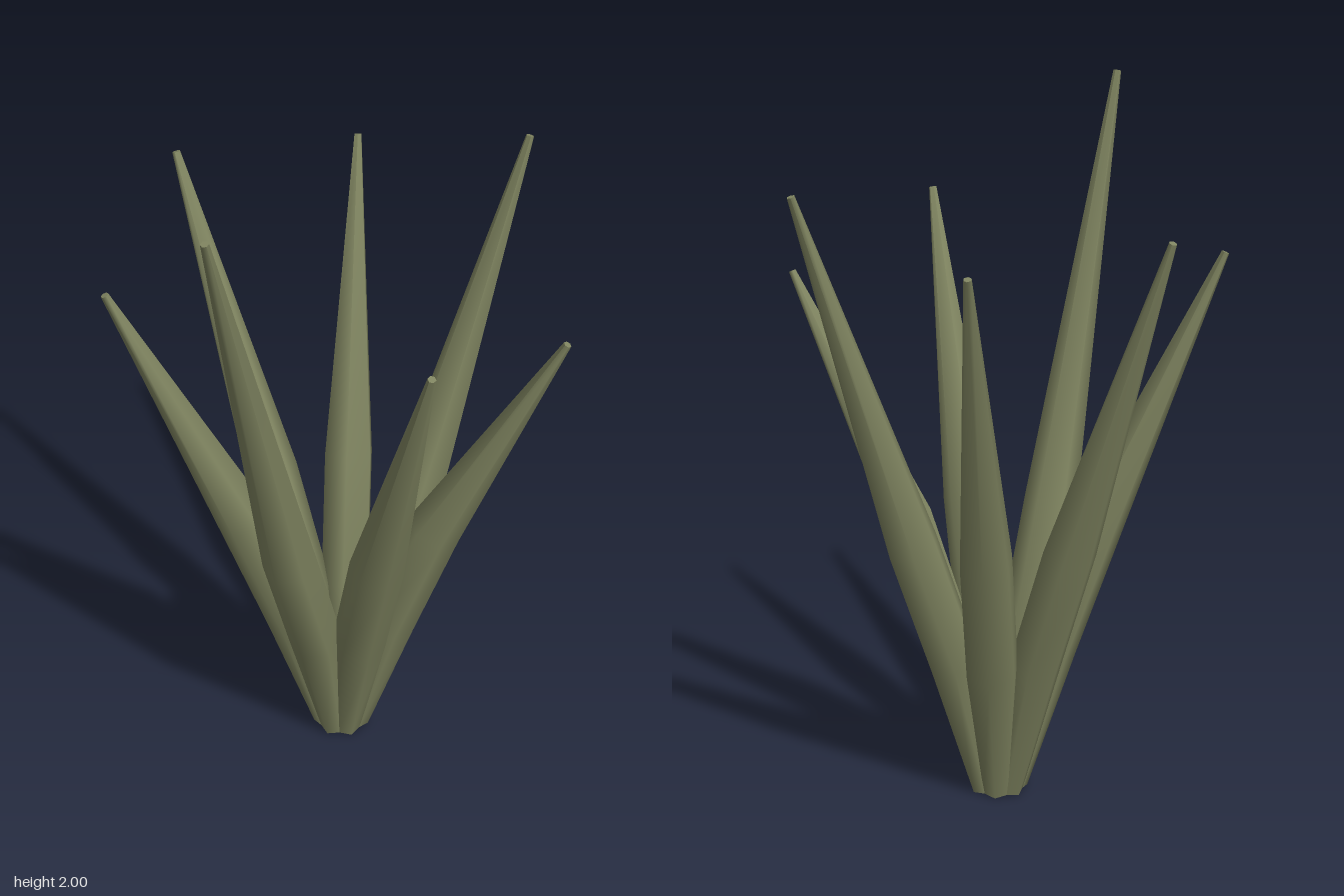
import * as THREE from 'three';
import { mergeVertices, toCreasedNormals } from 'three/addons/utils/BufferGeometryUtils.js';

const SIDES = 6;

// One leaf leaning towards +x: a six-sided spike swept along a bending axis.
function leafGeometry(height) {
  // each ring: distance from the plant's axis, height, radius
  const rings = [
    [0.045, 0.01, 0.04],
    [0.145, 0.43, 0.077],
    [0.275, 0.8, 0.076],
    [0.614, height - 0.006, 0.011],
  ];
  const last = rings.length - 1;
  const geo = new THREE.CylinderGeometry(1, 1, 1, SIDES, last, false, -Math.PI / 2);
  const pos = geo.attributes.position;
  for (let i = 0; i < pos.count; i++) {
    const k = last - Math.round((0.5 - pos.getY(i)) * last);
    const [out, up, radius] = rings[k];
    // lean of the axis at this ring
    const a = rings[Math.max(k - 1, 0)];
    const b = rings[Math.min(k + 1, last)];
    const lean = Math.atan2(b[0] - a[0], b[1] - a[1]);
    const offset = pos.getX(i) * radius;
    pos.setXYZ(
      i,
      out + offset * Math.cos(lean),
      up - offset * Math.sin(lean),
      pos.getZ(i) * radius
    );
  }
  geo.deleteAttribute('uv');
  geo.deleteAttribute('normal');
  // smooth around the leaf, sharp at its two ends
  return toCreasedNormals(mergeVertices(geo), 1.25);
}

export function createModel() {
  const plant = new THREE.Group();
  plant.name = 'spikyPlant';
  const material = new THREE.MeshStandardMaterial({ color: 0x7f8460 });

  // Leaves fanned evenly around the root, each with its own height
  const heights = [1.49, 1.65, 2.0, 1.58, 1.72, 1.67, 1.81];
  heights.forEach((height, i) => {
    const leaf = new THREE.Mesh(leafGeometry(height), material);
    leaf.name = `leaf${i + 1}`;
    leaf.position.x = -0.03;
    leaf.rotation.y = -(i / heights.length) * Math.PI * 2;
    plant.add(leaf);
  });
  return plant;
}
